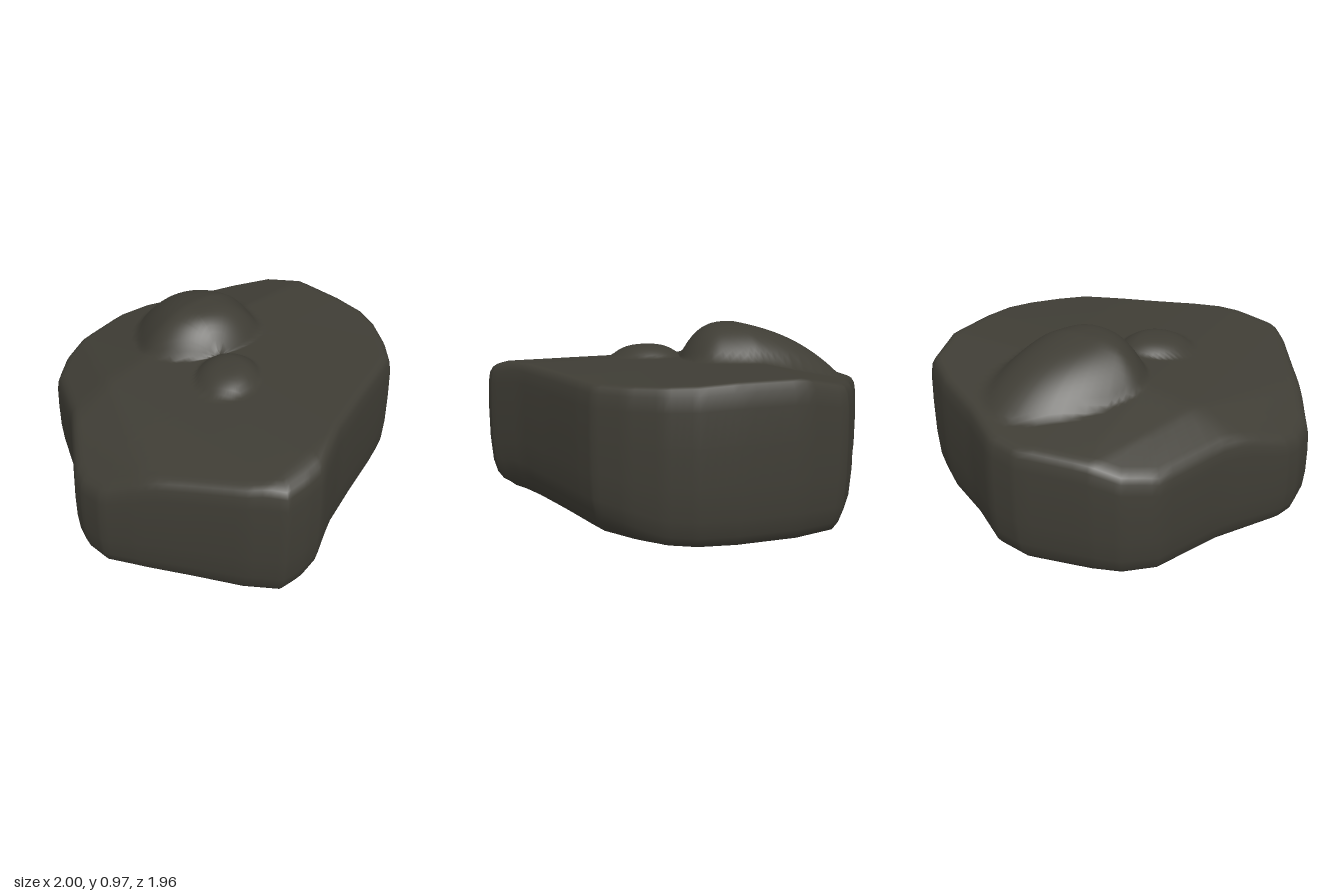
import * as THREE from 'three';

// Piecewise-linear lookup through [position, value] pairs
function lookup(pairs, t) {
  if (t <= pairs[0][0]) return pairs[0][1];
  for (let i = 1; i < pairs.length; i++) {
    const [a, va] = pairs[i - 1], [b, vb] = pairs[i];
    if (t <= b) return va + (vb - va) * (t - a) / (b - a);
  }
  return pairs[pairs.length - 1][1];
}

// Plan outline of the boulder as (x, z), starting at the back
const outline = [
  [-0.55, -0.93], [-0.32, -0.98], [0, -0.975], [0.2, -0.96], [0.35, -0.9], [0.5, -0.8],
  [0.63, -0.68], [0.68, -0.55], [0.77, -0.28], [0.87, 0], [0.99, 0.25], [0.995, 0.35], [0.985, 0.48],
  [0.84, 0.6], [0.6, 0.74], [0.37, 0.88], [0.2, 0.97], [0.05, 0.975], [-0.05, 0.945],
  [-0.38, 0.735], [-0.76, 0.57], [-0.88, 0.43], [-0.93, 0.28], [-1, -0.07], [-0.97, -0.25],
  [-0.82, -0.48], [-0.68, -0.75],
];

// Slope of the top from back to front
const slope = [[-0.95, 0.83], [-0.4, 0.815], [0, 0.795], [0.25, 0.77], [0.5, 0.72], [0.8, 0.635], [0.95, 0.56]];

// Lopsided mound: separate reach behind and ahead of its peak along a turned axis
function mound(x, z, cx, cz, behind, ahead, across, angle, height) {
  const c = Math.cos(angle), s = Math.sin(angle), dx = x - cx, dz = z - cz;
  const u = dx * c + dz * s, v = dz * c - dx * s;
  const t = (u / (u < 0 ? behind : ahead)) ** 2 + (v / across) ** 2;
  return t < 1 ? height * (1 - t ** 1.4) : 0;
}

// Top surface without mounds, falling off to the left, right and front left
function plateau(x, z) {
  return lookup(slope, z)
    - 0.22 * Math.max(0, -0.3 - x)
    - 0.3 * Math.max(0, x - 0.89)
    - 0.05 * Math.max(0, x) * Math.max(0, -z)
    - 0.25 * Math.max(0, -0.38 * x + 0.92 * z - 0.6);
}

function topHeight(x, z) {
  return plateau(x, z)
    + mound(x, z, -0.25, -0.08, 0.62, 0.25, 0.34, 0.45, 0.18)
    + mound(x, z, 0.16, 0.09, 0.2, 0.2, 0.17, 0.8, 0.065);
}

// Underside rises toward the right and back
function baseHeight(x, z) {
  return 0.012 + 0.04 * Math.max(0, x) + 0.02 * Math.max(0, -z);
}

function undercut(x, z) {
  return 0.09 * THREE.MathUtils.smoothstep(x, 0.3, 0.65) * (1 - THREE.MathUtils.smoothstep(z, 0.1, 0.4));
}

// Outline split into short straight pieces
function outlineLoop(pieces) {
  const loop = [];
  outline.forEach(([x, z], i) => {
    const [nx, nz] = outline[(i + 1) % outline.length];
    for (let k = 0; k < pieces; k++) {
      const t = k / pieces;
      loop.push([x + (nx - x) * t, z + (nz - z) * t]);
    }
  });
  return loop;
}

function rockGeometry() {
  const loop = outlineLoop(5), n = loop.length;

  // Rings run from the middle of the base, up the wall, to the middle of the top
  const rings = [];
  for (const s of [0, 0.3, 0.6, 0.8]) rings.push([s, (x, z) => baseHeight(x, z) + 0.012 * (1 - s)]);
  rings.push([0.89, (x, z) => baseHeight(x, z) + 0.004 + undercut(x, z) * 0.25]);
  rings.push([0.94, (x, z) => baseHeight(x, z) + 0.02 + undercut(x, z) * 0.7]);
  const wall = [[0.97, 0.09], [0.99, 0.2], [1, 0.4], [1, 0.65], [0.995, 0.86], [0.985, 0.95]];
  for (const [s, f] of wall) {
    rings.push([s, (x, z) => {
      const low = baseHeight(x, z) + undercut(x, z) * (1 - f);
      return low + (plateau(x, z) - low) * f;
    }]);
  }
  rings.push([0.968, (x, z) => plateau(x, z) - 0.008]);
  const steps = 34;
  for (let i = 0; i <= steps; i++) rings.push([0.945 * (1 - i / steps), topHeight]);

  const positions = [], index = [];
  for (const [s, height] of rings) {
    for (const [x, z] of loop) positions.push(x * s, height(x * s, z * s), z * s);
  }
  for (let i = 0; i < rings.length - 1; i++) {
    for (let j = 0; j < n; j++) {
      const a = i * n + j, b = i * n + (j + 1) % n, c = a + n, d = b + n;
      index.push(a, c, b, b, c, d);
    }
  }
  const geometry = new THREE.BufferGeometry();
  geometry.setAttribute('position', new THREE.Float32BufferAttribute(positions, 3));
  geometry.setIndex(index);
  geometry.computeVertexNormals();
  return geometry;
}

export function createModel() {
  const group = new THREE.Group();
  group.name = 'rock';
  const stone = new THREE.MeshStandardMaterial({ color: 0x3f3d35 });
  stone.name = 'dark stone';
  const boulder = new THREE.Mesh(rockGeometry(), stone);
  boulder.name = 'boulder';
  group.add(boulder);
  return group;
}
